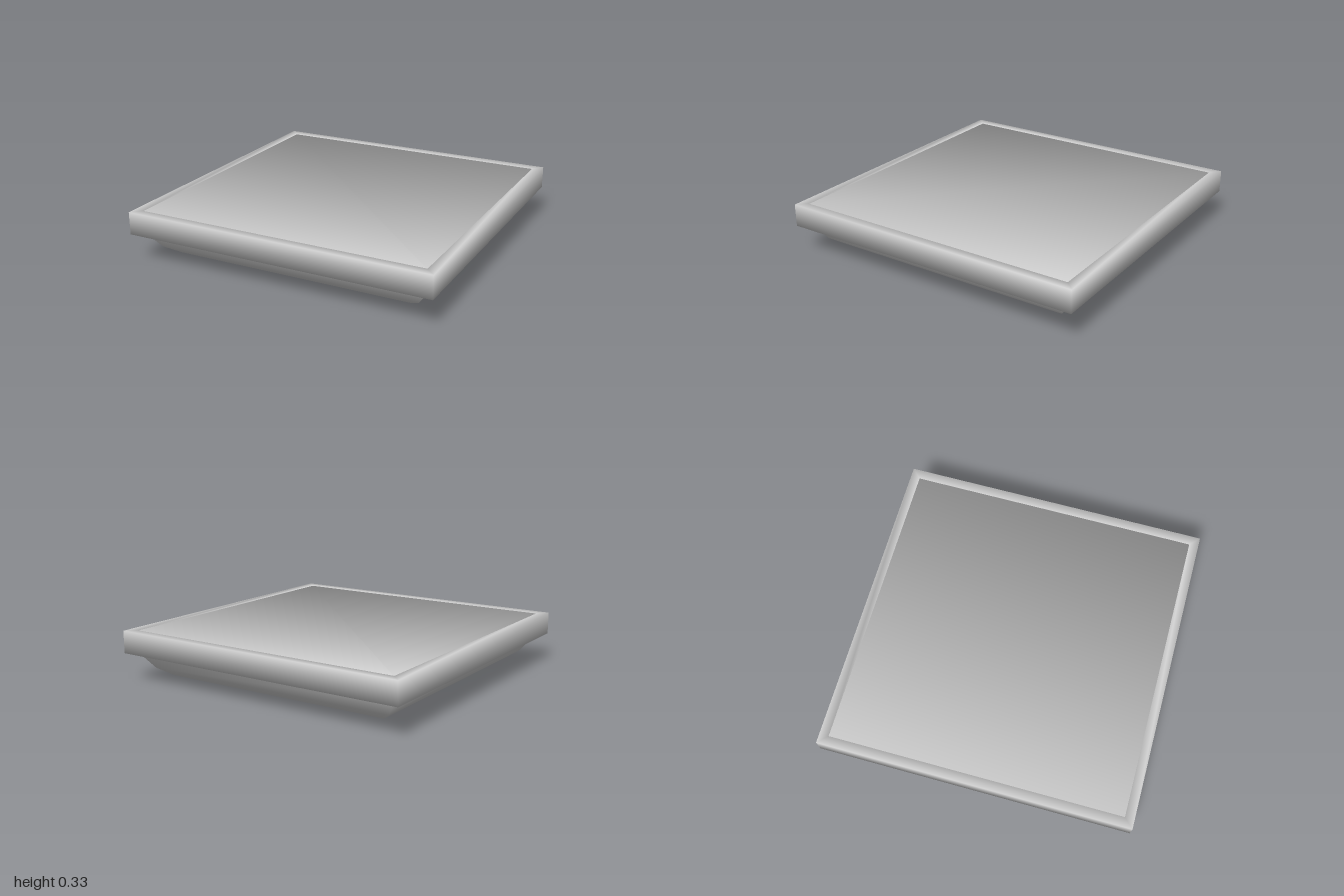
import * as THREE from 'three';

const CORNERS = [[1, 1], [1, -1], [-1, -1], [-1, 1]];

// Lofts square rings along a profile of [half width, y]; corners share softened normals.
function squareLoft(name, profile, { bottom = false, top = false, closed = false } = {}) {
  const n = profile.length;
  const strips = closed ? n : n - 1;
  const slopes = [];
  for (let i = 0; i < strips; i++) {
    const [r0, y0] = profile[i], [r1, y1] = profile[(i + 1) % n];
    slopes.push(new THREE.Vector2(y1 - y0, r0 - r1).normalize());
  }
  const pos = [], nor = [], idx = [];
  profile.forEach(([r, y], i) => {
    const before = slopes[closed ? (i + n - 1) % n : i - 1], after = slopes[i];
    let out = 0, up = 0;
    for (const s of [before, after]) if (s) { out += s.x; up += 2 * s.y; }
    if (bottom && i === 0) up -= 1;
    if (top && i === n - 1) up += 1;
    for (const [sx, sz] of CORNERS) {
      pos.push(sx * r, y, sz * r);
      nor.push(...new THREE.Vector3(sx * out, up, sz * out).normalize().toArray());
    }
  });
  for (let i = 0; i < strips; i++) {
    const lo = i * 4, hi = ((i + 1) % n) * 4;
    for (let k = 0; k < 4; k++) {
      const m = (k + 1) % 4;
      idx.push(lo + k, lo + m, hi + m, lo + k, hi + m, hi + k);
    }
  }
  if (bottom) idx.push(0, 2, 1, 0, 3, 2);
  if (top) {
    const t = (n - 1) * 4;
    idx.push(t, t + 1, t + 2, t, t + 2, t + 3);
  }
  const geo = new THREE.BufferGeometry();
  geo.setAttribute('position', new THREE.Float32BufferAttribute(pos, 3));
  geo.setAttribute('normal', new THREE.Float32BufferAttribute(nor, 3));
  geo.setIndex(idx);
  const mesh = new THREE.Mesh(geo, new THREE.MeshStandardMaterial({ color: 0xcccccc }));
  mesh.name = name;
  return mesh;
}

export function createModel() {
  const group = new THREE.Group();
  group.name = 'squarePanel';

  // Square rim around the panel
  group.add(squareLoft('rim',
    [[0.92, 0.185], [1, 0.185], [1, 0.33], [0.94, 0.33], [0.94, 0.3]]));

  // Top panel set into the rim
  group.add(squareLoft('topPanel', [[0.94, 0.19], [0.94, 0.326]], { bottom: true, top: true }));

  // Shallow base curving in toward the flat bottom
  group.add(squareLoft('base',
    [[0.68, 0], [0.785, 0.025], [0.865, 0.08], [0.925, 0.165], [0.925, 0.19]],
    { bottom: true }));

  return group;
}
